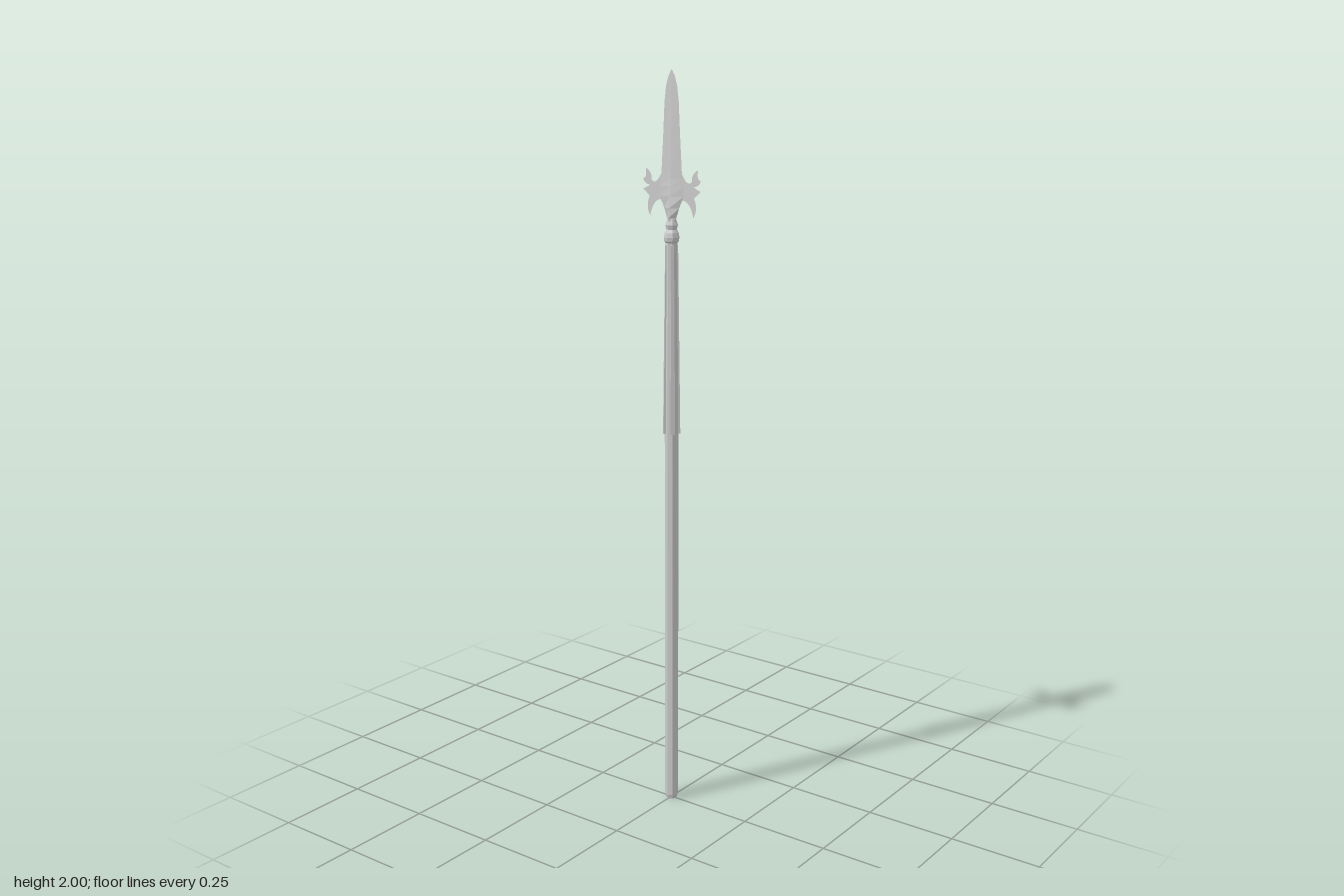
import * as THREE from 'three';

const mat = new THREE.MeshStandardMaterial({ color: 0xcccccc, flatShading: true });
const thin = new THREE.MeshStandardMaterial({ color: 0xcccccc, side: THREE.DoubleSide });

// Eight-sided turned part from [radius, height] pairs
function turned(name, profile) {
  const points = profile.map(([r, y]) => new THREE.Vector2(r, y));
  const mesh = new THREE.Mesh(new THREE.LatheGeometry(points, 8), mat);
  mesh.name = name;
  return mesh;
}

// Diamond-section loft from [height, half width, half depth] rows
function diamondLoft(rows) {
  const geo = new THREE.CylinderGeometry(1, 1, 1, 4, rows.length - 1);
  const pos = geo.attributes.position;
  for (let i = 0; i < pos.count; i++) {
    const row = Math.round((pos.getY(i) + 0.5) * (rows.length - 1));
    const [y, w, d] = rows[row];
    pos.setXYZ(i, pos.getX(i) * w, y, pos.getZ(i) * d);
  }
  geo.computeVertexNormals();
  return geo;
}

// Three-pronged side lug with hooked upper and lower points
function lugShape() {
  const s = new THREE.Shape();
  s.moveTo(0.02, 1.655);
  s.lineTo(0.036, 1.676);
  s.quadraticCurveTo(0.06, 1.672, 0.069, 1.632);
  s.quadraticCurveTo(0.084, 1.656, 0.071, 1.682);
  s.quadraticCurveTo(0.078, 1.69, 0.092, 1.7);
  s.quadraticCurveTo(0.078, 1.705, 0.07, 1.711);
  s.quadraticCurveTo(0.09, 1.714, 0.091, 1.728);
  s.quadraticCurveTo(0.078, 1.727, 0.083, 1.754);
  s.quadraticCurveTo(0.062, 1.744, 0.064, 1.724);
  s.quadraticCurveTo(0.05, 1.71, 0.034, 1.74);
  s.lineTo(0.02, 1.74);
  s.closePath();
  return s;
}

export function createModel() {
  const group = new THREE.Group();

  // Octagonal pole, chamfered at the butt and tapering towards the head
  group.add(turned('shaft', [
    [0, 0], [0.015, 0], [0.0185, 0.012], [0.0185, 1.2], [0.0165, 1.4], [0.0155, 1.575], [0, 1.575],
  ]));

  // Collar and neck below the blade
  group.add(turned('collar', [
    [0.012, 1.562], [0.019, 1.57], [0.0205, 1.58], [0.018, 1.592], [0.0135, 1.6],
    [0.0165, 1.612], [0.012, 1.625], [0, 1.64],
  ]));

  // Tapering langets fixed along the pole
  for (let i = 0; i < 4; i++) {
    const geo = new THREE.BoxGeometry(0.012, 0.5, 0.01, 1, 4, 1);
    const pos = geo.attributes.position;
    for (let k = 0; k < pos.count; k++) {
      const t = pos.getY(k) / 0.5 + 0.5;
      pos.setX(k, pos.getX(k) * (1 - 0.35 * t));
      pos.setZ(k, pos.getZ(k) + 0.0175 - 0.006 * t);
      pos.setY(k, 1.06 + 0.5 * t);
    }
    geo.computeVertexNormals();
    const langet = new THREE.Mesh(geo, mat);
    langet.name = 'langet' + (i + 1);
    langet.rotation.y = Math.PI / 4 + i * Math.PI / 2;
    group.add(langet);
  }

  // Leaf-shaped blade with a central ridge
  const blade = new THREE.Mesh(diamondLoft([
    [1.605, 0.011, 0.015], [1.63, 0.015, 0.0135], [1.655, 0.024, 0.0105], [1.685, 0.037, 0.0075],
    [1.71, 0.038, 0.006], [1.73, 0.034, 0.0045], [1.75, 0.032, 0.004], [1.84, 0.0265, 0.003],
    [1.92, 0.0225, 0.002], [1.96, 0.0175, 0.0015], [1.985, 0.01, 0.001], [2, 0.001, 0.0005],
  ]), mat);
  blade.name = 'blade';
  group.add(blade);

  // Mirrored lugs
  for (const side of [1, -1]) {
    const geo = new THREE.ShapeGeometry(lugShape(), 6);
    if (side < 0) geo.rotateY(Math.PI);
    const lug = new THREE.Mesh(geo, thin);
    lug.name = side > 0 ? 'leftLug' : 'rightLug';
    group.add(lug);
  }

  return group;
}
